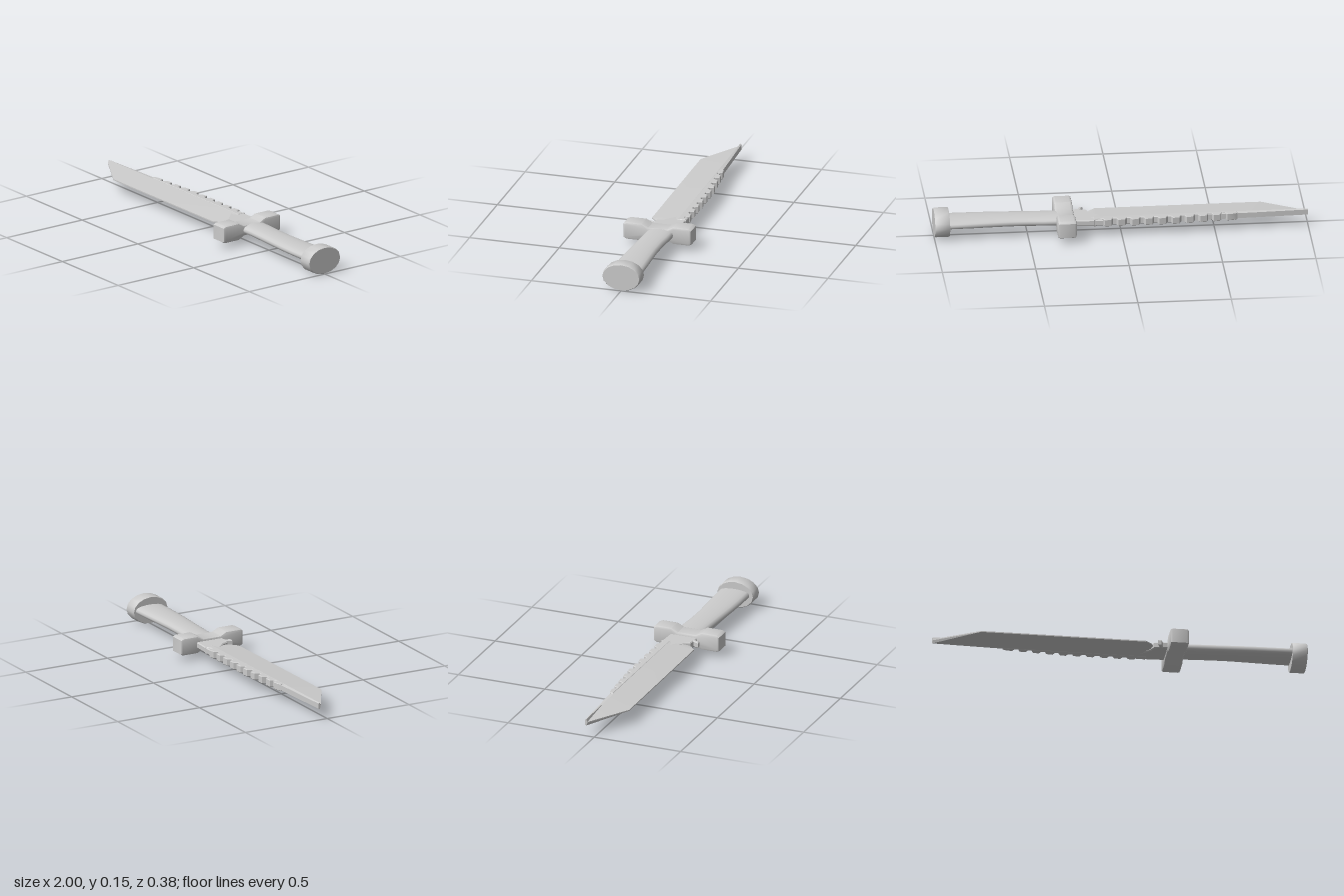
import * as THREE from 'three';
import { toCreasedNormals } from 'three/addons/utils/BufferGeometryUtils.js';

const material = new THREE.MeshStandardMaterial({ color: 0xcccccc });
const MID = 0.078; // height of the knife's centre plane

// Skin closed [y, z] rings placed along x, with fan caps at both ends.
function loft(rings) {
  const pos = [], idx = [], n = rings[0].pts.length, last = rings.length - 1;
  for (const { x, pts } of rings) for (const [y, z] of pts) pos.push(x, y, z);
  for (let i = 0; i < last; i++) {
    for (let j = 0; j < n; j++) {
      const a = i * n + j, b = i * n + (j + 1) % n;
      idx.push(a, b, a + n, b, b + n, a + n);
    }
  }
  for (let j = 1; j < n - 1; j++) {
    idx.push(0, j + 1, j, last * n, last * n + j, last * n + j + 1);
  }
  const g = new THREE.BufferGeometry();
  g.setAttribute('position', new THREE.Float32BufferAttribute(pos, 3));
  g.setIndex(idx);
  return g;
}

// Horizontal plate cut from an [x, z] outline, centred on y = 0.
function plate(outline, thickness, bevel) {
  const shape = new THREE.Shape(outline.map(([x, z]) => new THREE.Vector2(x, -z)));
  const depth = thickness - 2 * bevel;
  const g = new THREE.ExtrudeGeometry(shape, {
    depth, bevelThickness: bevel, bevelSize: bevel, bevelOffset: -bevel, bevelSegments: 1,
  });
  return g.translate(0, 0, -depth / 2).rotateX(-Math.PI / 2);
}

export function createModel() {
  const model = new THREE.Group();
  const add = (name, geometry, y = MID, crease = 0.5) => {
    const mesh = new THREE.Mesh(toCreasedNormals(geometry, crease), material);
    mesh.name = name;
    mesh.position.y = y;
    model.add(mesh);
  };

  // Blade: thick ridge, bevelled to a thin edge; slanted tip
  // columns: x, spine z, ridge z, edge z, ridge half thickness
  const blade = [
    [-1, -0.054, -0.046, -0.04, 0.018],
    [-0.76, -0.064, -0.048, 0.1, 0.018],
    [-0.6, -0.07, -0.049, 0.1, 0.018],
    [0.13, -0.075, -0.055, 0.096, 0.019],
    [0.165, -0.075, -0.055, 0.065, 0.017],
    [0.18, -0.075, -0.055, 0.03, 0.014],
  ];
  add('blade', loft(blade.map(([x, spine, ridge, edge, h]) => ({
    x,
    pts: [[h, ridge], [0.003, edge], [-0.003, edge], [-h, ridge], [-h * 0.8, spine], [h * 0.8, spine]],
  }))), MID, 0.1);

  // Saw teeth along the spine
  const saw = [[0.15, -0.052], [-0.62, -0.052], [-0.62, -0.07]];
  const pitch = 0.073;
  for (let i = 0; i < 10; i++) {
    const x = -0.6 + i * pitch;
    const crest = -Math.min(0.105, 0.083 + i * 0.006);
    saw.push([x, crest + 0.004], [x + 0.035, crest], [x + 0.045, crest + 0.022], [x + 0.062, crest + 0.024]);
  }
  saw.push([0.15, -0.1]);
  add('sawTeeth', plate(saw, 0.04, 0.003));

  // Neck between blade and guard, with a finger notch and spur
  add('bladeNeck', plate([
    [0.1, -0.1], [0.28, -0.092], [0.28, 0.06], [0.225, 0.065], [0.215, 0.093],
    [0.195, 0.092], [0.207, 0.06], [0.18, 0.055], [0.165, 0.02], [0.1, -0.04],
  ], 0.034, 0.005));

  // Crossguard: heavy end blocks with a dipped middle
  const half = [[0.178, 0.032], [0.17, 0.036], [0.09, 0.036], [0.055, 0.017]];
  const mirror = (sz, sy, list) => list.map(([z, y]) => new THREE.Vector2(z * sz, y * sy));
  const back = [...half].reverse();
  const guard = new THREE.Shape([
    ...mirror(1, 1, half), ...mirror(-1, 1, back),
    ...mirror(-1, -1, half), ...mirror(1, -1, back),
  ]);
  add('crossguard', new THREE.ExtrudeGeometry(guard, {
    depth: 0.076, bevelThickness: 0.012, bevelSize: 0.012, bevelSegments: 2,
  }).rotateY(Math.PI / 2).translate(0.262, 0, 0));

  // Grip: flattened oval, gently waisted; columns: x, back z, front z
  const grip = [
    [0.33, -0.09, 0.058], [0.42, -0.085, 0.061], [0.5, -0.079, 0.065], [0.6, -0.078, 0.071],
    [0.7, -0.082, 0.077], [0.8, -0.087, 0.08], [0.93, -0.09, 0.081],
  ];
  add('grip', loft(grip.map(([x, z0, z1]) => {
    const pts = [];
    for (let j = 0; j < 20; j++) {
      const a = (j / 20) * Math.PI * 2, c = Math.cos(a);
      pts.push([0.026 * Math.sign(c) * Math.pow(Math.abs(c), 0.7), (z0 + z1) / 2 + ((z1 - z0) / 2) * Math.sin(a)]);
    }
    return { x, pts };
  })), 0.081, 0.9);

  // Pommel: short oval cap with softened rims
  const profile = [[0, 0], [0.96, 0], [1, 0.006], [1, 0.074], [0.96, 0.08], [0, 0.08]];
  const pommel = new THREE.LatheGeometry(profile.map(([r, h]) => new THREE.Vector2(r, h)), 16);
  pommel.rotateZ(-Math.PI / 2).scale(1, 0.075, 0.106).translate(0.92, 0, 0);
  add('pommel', pommel, 0.075, 0.9);

  return model;
}
